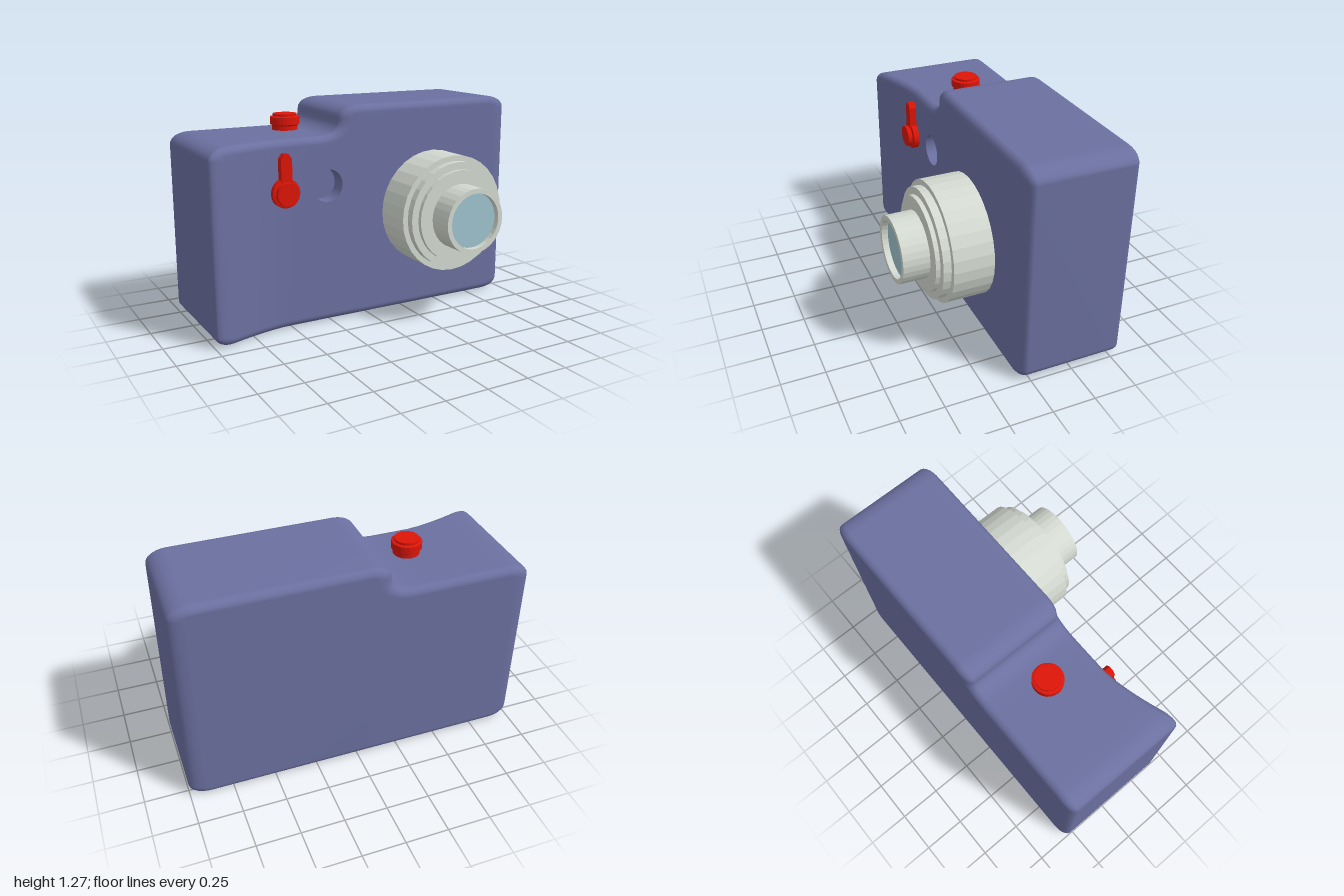
import * as THREE from 'three';
import { mergeVertices } from 'three/addons/utils/BufferGeometryUtils.js';

const FRONT = 0.065, BACK = -0.565, BEVEL_X = 0.08, BEVEL_Y = 0.045;
const HOLE = { x: -0.265, y: 0.82, r: 0.095, depth: 0.1 };

const material = (color, extra = {}) => new THREE.MeshStandardMaterial({ color, ...extra });

function addMesh(parent, name, geometry, mat) {
  const mesh = new THREE.Mesh(geometry, mat);
  mesh.name = name;
  parent.add(mesh);
  return mesh;
}

// Outline stations on an elliptical corner; sign +1 is convex, -1 is concave
function corner(cx, cy, a, b, from, to, sign) {
  const stations = [];
  for (let i = 0; i <= 6; i++) {
    const t = THREE.MathUtils.degToRad(from + (to - from) * i / 6);
    const c = Math.cos(t), s = Math.sin(t);
    stations.push({
      outer: [cx + a * c, cy + b * s],
      inner: [cx + (a - sign * BEVEL_X) * c, cy + (b - sign * BEVEL_Y) * s],
    });
  }
  return stations;
}

// The finger grip swells forward towards the low end
const swell = x => 0.13 * Math.pow(THREE.MathUtils.clamp((-0.52 - x) / 0.48, 0, 1), 1.5);

function bodyGeometry(patch) {
  const left = corner(-0.88, 1.035, 0.12, 0.07, 180, 90, 1);
  const right = corner(0.88, 1.2, 0.12, 0.07, 90, 0, 1);
  const flat = [-0.84, -0.78, -0.72, -0.66, -0.6, -0.54, -0.45, patch.x0]
    .map(x => ({ outer: [x, 1.105], inner: [x, 1.105 - BEVEL_Y] }));
  const middle = [
    ...flat,
    ...corner(-0.295, 1.185, 0.12, 0.08, -90, 0, -1),
    ...corner(-0.06, 1.2, 0.115, 0.07, 180, 90, 1),
  ];
  const flip = (list, height) => list.map(s => ({
    outer: [s.outer[0], height - s.outer[1]], inner: [s.inner[0], height - s.inner[1]],
  }));
  const top = [...left, ...middle, ...right];
  const bottom = [
    ...flip(left, 1.105),
    ...middle.map(s => ({ outer: [s.inner[0], 0], inner: [s.inner[0], BEVEL_Y] })),
    ...flip(right, 1.27),
  ];

  const positions = [];
  const quad = (a, b, c, d) => positions.push(...a, ...b, ...c, ...a, ...c, ...d);

  // Rounded walls: the bevel profile swept round the outline
  const profile = [];
  for (let k = 0; k <= 5; k++) {
    const t = k / 5 * Math.PI / 2;
    profile.push({ inset: 1 - Math.sin(t), drop: BEVEL_Y * (1 - Math.cos(t)) });
  }
  const rows = [
    ...profile.map(p => ({ inset: p.inset, z: FRONT - p.drop, front: 1 })),
    ...profile.slice().reverse().map(p => ({ inset: p.inset, z: BACK + p.drop, front: 0 })),
  ];
  const outline = [...top, ...bottom.slice().reverse()];
  const wallPoint = (s, row) => {
    const x = THREE.MathUtils.lerp(s.outer[0], s.inner[0], row.inset);
    const y = THREE.MathUtils.lerp(s.outer[1], s.inner[1], row.inset);
    return [x, y, row.z + row.front * swell(x)];
  };
  outline.forEach((s, i) => {
    const n = outline[(i + 1) % outline.length];
    for (let k = 0; k < rows.length - 1; k++) {
      quad(wallPoint(s, rows[k]), wallPoint(n, rows[k]), wallPoint(n, rows[k + 1]), wallPoint(s, rows[k + 1]));
    }
  });

  // Front and back faces in columns, leaving room for the viewfinder panel
  const column = i => [bottom[i].inner[1], patch.y0, patch.y1, top[i].inner[1]]
    .map(y => [top[i].inner[0], y]);
  for (let i = 0; i < top.length - 1; i++) {
    const a = column(i), b = column(i + 1);
    for (let j = 0; j < 3; j++) {
      const f = p => [p[0], p[1], FRONT + swell(p[0])];
      const r = p => [p[0], p[1], BACK];
      const open = j === 1 && a[0][0] > patch.x0 - 1e-4 && b[0][0] < patch.x1 + 1e-4;
      if (!open) quad(f(a[j]), f(b[j]), f(b[j + 1]), f(a[j + 1]));
      quad(r(b[j]), r(a[j]), r(a[j + 1]), r(b[j + 1]));
    }
  }
  let geometry = new THREE.BufferGeometry();
  geometry.setAttribute('position', new THREE.Float32BufferAttribute(positions, 3));
  geometry = mergeVertices(geometry, 1e-5);
  geometry.computeVertexNormals();
  return geometry;
}

// Turned part, given as [radius, height] pairs from bottom to top
const turned = (points, sides) =>
  new THREE.LatheGeometry(points.map(p => new THREE.Vector2(...p)), sides);

export function createModel() {
  const model = new THREE.Group();
  model.name = 'compactCamera';
  const blue = material(0x6b70a0);
  const blueOpen = material(0x6b70a0, { side: THREE.DoubleSide });
  const red = material(0xdd1508, { flatShading: true });
  const silver = material(0xd3d9d0, { flatShading: true });

  // Body
  const patch = { x0: -0.37, x1: -0.295 + 0.2 * Math.SQRT1_2, y0: 0.71, y1: 0.93 };
  addMesh(model, 'body', bodyGeometry(patch), blue);

  // Viewfinder: pierced panel, tunnel and floor
  const viewfinder = new THREE.Group();
  viewfinder.name = 'viewfinder';
  model.add(viewfinder);
  const panel = new THREE.Shape([
    [patch.x0, patch.y0], [patch.x1, patch.y0], [patch.x1, patch.y1], [patch.x0, patch.y1],
  ].map(p => new THREE.Vector2(...p)));
  panel.holes.push(new THREE.Path().absarc(HOLE.x, HOLE.y, HOLE.r, 0, Math.PI * 2, true));
  addMesh(viewfinder, 'viewfinderPanel', new THREE.ShapeGeometry(panel, 16), blue).position.z = FRONT;
  const tunnel = new THREE.CylinderGeometry(HOLE.r, HOLE.r, HOLE.depth, 32, 1, true).rotateX(Math.PI / 2);
  addMesh(viewfinder, 'viewfinderTunnel', tunnel, blueOpen)
    .position.set(HOLE.x, HOLE.y, FRONT - HOLE.depth / 2);
  addMesh(viewfinder, 'viewfinderFloor', new THREE.CircleGeometry(HOLE.r, 32), blue)
    .position.set(HOLE.x, HOLE.y, FRONT - HOLE.depth);

  // Lens: stepped barrel with recessed glass
  const lens = new THREE.Group();
  lens.name = 'lens';
  lens.position.set(0.413, 0.635, 0);
  model.add(lens);
  const barrel = turned([
    [0, 0.115], [0.345, 0.115], [0.345, 0.345], [0.313, 0.345], [0.313, 0.39], [0.27, 0.39],
    [0.27, 0.415], [0.19, 0.415], [0.19, 0.565], [0.162, 0.565], [0.162, 0.525],
  ], 32).rotateX(Math.PI / 2);
  addMesh(lens, 'lensBarrel', barrel, silver);
  addMesh(lens, 'lensGlass', new THREE.CircleGeometry(0.163, 32), material(0x9fc4cf)).position.z = 0.53;

  // Shutter button on the low shoulder
  const button = turned([
    [0, 1.12], [0.075, 1.12], [0.075, 1.145], [0.086, 1.153], [0.086, 1.195],
    [0.07, 1.2], [0.07, 1.213], [0, 1.213],
  ], 24);
  addMesh(model, 'shutterButton', button, red).position.set(-0.4, 0, -0.22);

  // Front lever: hub, cap and pointed arm
  const lever = new THREE.Group();
  lever.name = 'frontLever';
  lever.position.set(-0.54, 0.81, 0);
  model.add(lever);
  const hub = turned([
    [0, 0.07], [0.083, 0.07], [0.083, 0.105], [0.065, 0.11], [0.065, 0.135], [0, 0.135],
  ], 24).rotateX(Math.PI / 2);
  addMesh(lever, 'leverHub', hub, red);
  const arm = new THREE.Shape([
    [-0.033, 0], [0.033, 0], [0.033, 0.195], [0.012, 0.223], [-0.012, 0.223], [-0.033, 0.195],
  ].map(p => new THREE.Vector2(...p)));
  addMesh(lever, 'leverArm', new THREE.ExtrudeGeometry(arm, { depth: 0.042, bevelEnabled: false }), red)
    .position.z = 0.071;

  return model;
}
